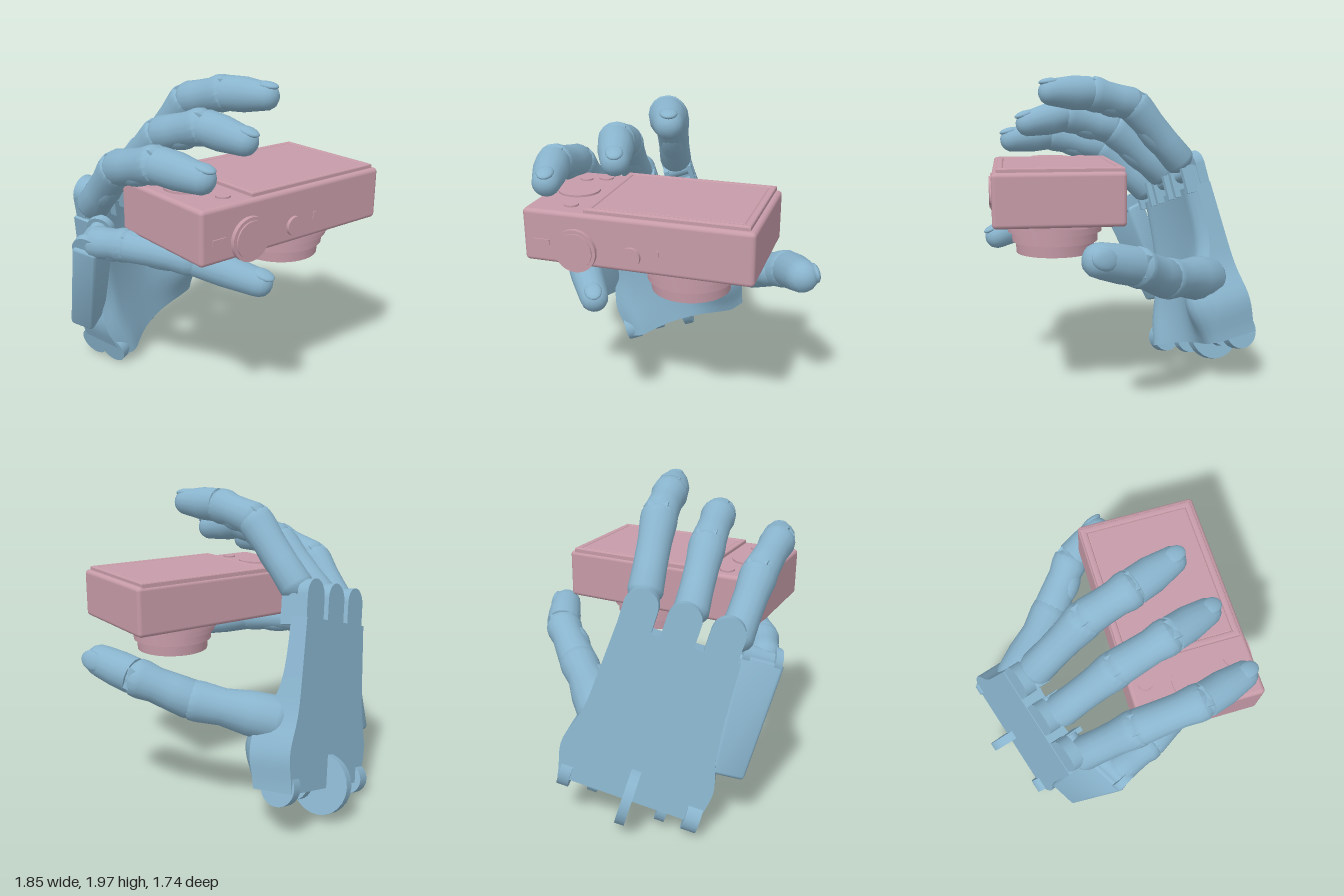
import * as THREE from 'three';
import { toCreasedNormals } from 'three/addons/utils/BufferGeometryUtils.js';
import { RoundedBoxGeometry } from 'three/addons/geometries/RoundedBoxGeometry.js';

const V = (x, y, z) => new THREE.Vector3(x, y, z);
const blue = new THREE.MeshStandardMaterial({ color: 0x89b4cd });
const rose = new THREE.MeshStandardMaterial({ color: 0xc69ba8 });

function add(parent, name, geometry, material, x = 0, y = 0, z = 0) {
  const mesh = new THREE.Mesh(geometry, material);
  mesh.name = name;
  mesh.position.set(x, y, z);
  parent.add(mesh);
  return mesh;
}

// Frame with y along dir and z as close to back as possible
function frame(name, origin, dir, back) {
  const g = new THREE.Group();
  g.name = name;
  const y = dir.clone().normalize();
  const x = y.clone().cross(back).normalize();
  g.quaternion.setFromRotationMatrix(new THREE.Matrix4().makeBasis(x, y, x.clone().cross(y)));
  g.position.copy(origin);
  return g;
}

const lathe = (pts, n = 16) => toCreasedNormals(
  new THREE.LatheGeometry(pts.map(p => new THREE.Vector2(p[0], p[1])), n), 0.7);

// Disc or pin whose axis runs across the finger
function pin(parent, name, r, width, x, y, z) {
  add(parent, name, new THREE.CylinderGeometry(r, r, width, 24), blue, x, y, z).rotation.z = Math.PI / 2;
}

// Jointed finger: one turned phalanx per span, hinge pins between, sleeve and nail at the tip
function finger(name, pts, radii, back) {
  const group = new THREE.Group();
  group.name = name;
  pts.slice(0, -1).forEach((a, i) => {
    const dir = pts[i + 1].clone().sub(a), L = dir.length();
    const ra = radii[i], rb = radii[i + 1];
    const seg = frame(name + 'Segment' + (i + 1), a, dir, back);
    group.add(seg);
    const tip = i === pts.length - 2;
    const start = tip
      ? [[0, -0.3 * ra], [0.8 * ra, -0.3 * ra], [0.86 * ra, 0.1 * ra], [0.98 * ra, 0.12 * ra]]
      : [[0, -0.4 * ra], [0.66 * ra, -0.38 * ra], [0.93 * ra, -0.1 * ra], [ra, 0.12 * ra]];
    const end = tip
      ? [[0.97 * ra, 0.45 * L], [rb, L - 0.35 * rb], [0.93 * rb, L + 0.1 * rb], [0.72 * rb, L + 0.45 * rb], [0.4 * rb, L + 0.66 * rb], [0, L + 0.74 * rb]]
      : [[0.95 * ra, 0.35 * L], [0.94 * rb, 0.65 * L], [1.04 * rb, L - 0.4 * rb], [1.02 * rb, L], [0.72 * rb, L + 0.35 * rb], [0, L + 0.42 * rb]];
    add(seg, 'phalanx', lathe([...start, ...end]), blue);
    if (tip) {
      const nail = add(seg, 'nail', new THREE.SphereGeometry(1, 16, 10), blue, 0, L - 0.05 * rb, 0.76 * rb);
      nail.scale.set(0.6 * rb, 0.8 * rb, 0.27 * rb);
      nail.rotation.x = -0.12;
    } else {
      pin(seg, 'hingePin', 0.82 * rb, 1.1 * rb, 0, L, 0);
      const pad = add(seg, 'pad', new THREE.SphereGeometry(1, 16, 10), blue, 0, 0.5 * L, -0.4 * ra);
      pad.scale.set(0.75 * ra, 0.4 * L, 0.66 * ra);
    }
  });
  return group;
}

function buildPalm() {
  // Local axes: x across the hand, y towards the knuckles, z out of the palm
  const palm = frame('palm', V(-0.2, 0.2, -0.74), V(-0.22, 0.945, 0.215), V(0.34, -0.14, 0.92));
  const bump = (x, y, cx, cy, rx, ry) => Math.exp(-(((x - cx) / rx) ** 2) - (((y - cy) / ry) ** 2));

  // Body: flat back, hollow front, thick heel and thumb mound
  const body = new THREE.BoxGeometry(1, 1, 1, 24, 24, 3);
  const p = body.attributes.position;
  for (let i = 0; i < p.count; i++) {
    const s = p.getX(i) * 2, k = p.getY(i) + 0.5, d = p.getZ(i) + 0.5;
    const flare = Math.exp(-(((k - 0.22) / 0.16) ** 2));
    const right = 0.37 + 0.06 * (1 - k) + 0.06 * flare;
    const left = 0.36 + 0.07 * (1 - k) + 0.05 * flare;
    const x = s > 0 ? s * right : s * left, y = 0.04 + 1.02 * k;
    let t = 0.13 + 0.04 * s * s + 0.13 * (1 - k) ** 2;
    t += 0.16 * bump(x, y, 0.33, 0.32, 0.2, 0.22) + 0.06 * bump(x, y, -0.4, 0.05, 0.2, 0.3);
    t -= 0.3 * Math.max(0, Math.abs(s) - 0.8) * d;
    p.setXYZ(i, x, y, t * d);
  }
  add(palm, 'palmBody', toCreasedNormals(body, 0.6), blue);

  // Rounded knuckle tabs with side cheeks and pins
  for (const x of [0.27, 0.015, -0.24]) {
    add(palm, 'knuckleTab', new THREE.BoxGeometry(0.2, 0.16, 0.07), blue, x, 1.12, 0.04);
    const cap = add(palm, 'knuckleCap', new THREE.CylinderGeometry(0.1, 0.1, 0.07, 24), blue, x, 1.195, 0.04);
    cap.rotation.x = Math.PI / 2;
    for (const side of [-1, 1]) {
      add(palm, 'knuckleCheek', new THREE.BoxGeometry(0.03, 0.17, 0.15), blue, x + side * 0.08, 1.1, 0.11);
    }
    pin(palm, 'knucklePin', 0.05, 0.17, x, 1.15, 0.11);
  }

  // Wrist hinge discs: across, along, outwards, radius, thickness
  const discs = [[-0.4, 0.06, 0.06, 0.1, 0.09], [-0.4, 0.07, 0.22, 0.1, 0.09], [-0.22, 0.04, 0.12, 0.11, 0.06],
    [0, 0.06, 0.05, 0.19, 0.06], [0.22, 0.08, 0.11, 0.105, 0.06], [0.4, 0.07, 0.1, 0.115, 0.07]];
  for (const [x, y, z, r, w] of discs) pin(palm, 'wristDisc', r, w, x, y, z);
  return palm;
}

function buildLittleFingerBase() {
  // Separate folding blade on the outer edge of the hand, wider towards the knuckle
  const base = frame('littleFingerBase', V(-0.7, 0.39, -0.42), V(-0.075, 0.67, 0.28), V(0.6, -0.2, 0.8));
  const blade = new RoundedBoxGeometry(0.29, 0.72, 0.16, 3, 0.03);
  const p = blade.attributes.position;
  for (let i = 0; i < p.count; i++) p.setX(i, p.getX(i) * (0.85 + 0.45 * p.getY(i)));
  add(base, 'blade', toCreasedNormals(blade, 0.6), blue, 0, 0.36, 0);
  for (const side of [-1, 1]) pin(base, 'knuckleCheek', 0.085, 0.045, side * 0.1, 0.72, 0);
  pin(base, 'knucklePin', 0.06, 0.2, 0, 0.72, 0);
  add(base, 'bracketArm', new THREE.BoxGeometry(0.3, 0.08, 0.06), blue, 0.22, 0.27, 0);
  add(base, 'bracketPlate', new THREE.BoxGeometry(0.05, 0.13, 0.1), blue, 0.35, 0.27, 0);
  return base;
}

function buildCamera() {
  const cam = new THREE.Group();
  cam.name = 'camera';
  add(cam, 'body', new RoundedBoxGeometry(1.33, 0.31, 0.75, 3, 0.025), rose, -0.02, 1.295, 0.425);

  // Raised screen: hollow frame around a recessed panel
  const rect = (S, w, h) => {
    const s = new S();
    s.moveTo(-w, -h); s.lineTo(w, -h); s.lineTo(w, h); s.lineTo(-w, h); s.closePath();
    return s;
  };
  const rim = rect(THREE.Shape, 0.455, 0.345);
  rim.holes.push(rect(THREE.Path, 0.44, 0.33));
  const rimGeo = new THREE.ExtrudeGeometry(rim, { depth: 0.03, bevelSize: 0.012, bevelThickness: 0.008, bevelSegments: 2 });
  add(cam, 'screenFrame', rimGeo, rose, 0.145, 1.437, 0.415).rotation.x = -Math.PI / 2;
  add(cam, 'screen', new RoundedBoxGeometry(0.86, 0.04, 0.64, 2, 0.01), rose, 0.145, 1.452, 0.415);

  // Stepped lens pointing down, with a recessed mouth
  const steps = [[0, 0.97], [0.09, 0.97], [0.11, 0.945], [0.19, 0.93], [0.235, 0.93], [0.24, 1.0], [0.26, 1.0],
    [0.26, 1.06], [0.285, 1.06], [0.285, 1.1], [0.31, 1.1], [0.31, 1.125], [0.335, 1.125], [0.335, 1.16]];
  add(cam, 'lens', lathe(steps, 48), rose, 0.195, 0, 0.43);
  add(cam, 'lensShutter', new THREE.BoxGeometry(0.11, 0.03, 0.08), rose, 0.195, 0.965, 0.43);

  // Dials and buttons on the upper face: x, z, radius, height
  for (const [x, z, r, h] of [[-0.5, 0.42, 0.125, 0.012], [-0.44, 0.67, 0.042, 0.01], [-0.55, 0.2, 0.04, 0.01], [-0.44, 0.15, 0.045, 0.01]]) {
    add(cam, 'topButton', new THREE.CylinderGeometry(r, r, h, 32), rose, x, 1.45 + h / 2, z);
  }
  // Dials and small plates on the front face
  for (const [x, r, h] of [[-0.365, 0.125, 0.025], [-0.365, 0.105, 0.034], [-0.04, 0.056, 0.02]]) {
    add(cam, 'frontDial', new THREE.CylinderGeometry(r, r, h, 36), rose, x, 1.237, 0.8 + h / 2).rotation.x = Math.PI / 2;
  }
  add(cam, 'frontPlate', new THREE.BoxGeometry(0.09, 0.032, 0.012), rose, -0.57, 1.265, 0.801);
  add(cam, 'frontSlot', new THREE.BoxGeometry(0.016, 0.045, 0.012), rose, 0.115, 1.265, 0.801);
  add(cam, 'bottomCover', new THREE.BoxGeometry(0.28, 0.02, 0.3), rose, 0.45, 1.135, 0.42);
  add(cam, 'bottomStud', new THREE.BoxGeometry(0.04, 0.03, 0.04), rose, -0.22, 1.13, 0.6);
  return cam;
}

export function createModel() {
  const model = new THREE.Group();
  model.name = 'handHoldingCamera';
  const hand = new THREE.Group();
  hand.name = 'hand';
  const up = V(0, 1, 0);
  hand.add(buildPalm(), buildLittleFingerBase());
  hand.add(finger('indexFinger',
    [V(-0.175, 1.44, -0.43), V(-0.1, 1.815, -0.1), V(-0.03, 1.885, 0.18), V(0.065, 1.89, 0.45)], [0.105, 0.108, 0.108, 0.084], up));
  hand.add(finger('middleFinger',
    [V(-0.43, 1.34, -0.36), V(-0.37, 1.655, 0.0), V(-0.3, 1.745, 0.32), V(-0.205, 1.69, 0.585)], [0.105, 0.108, 0.106, 0.084], up));
  hand.add(finger('ringFinger',
    [V(-0.68, 1.2, -0.3), V(-0.69, 1.51, 0.03), V(-0.67, 1.605, 0.4), V(-0.58, 1.57, 0.69)], [0.105, 0.108, 0.106, 0.084], up));
  hand.add(finger('littleFinger',
    [V(-0.79, 1.04, -0.1), V(-0.7, 1.065, 0.12), V(-0.48, 1.04, 0.48), V(-0.265, 0.945, 0.8)], [0.1, 0.098, 0.098, 0.082], V(0, 1, 0.3)));
  hand.add(finger('thumb',
    [V(0.05, 0.69, -0.57), V(0.44, 0.79, -0.21), V(0.7, 0.925, 0.01), V(0.825, 0.995, 0.25)], [0.145, 0.122, 0.115, 0.102], V(1, 0.25, -0.3)));
  model.add(hand, buildCamera());
  return model;
}
